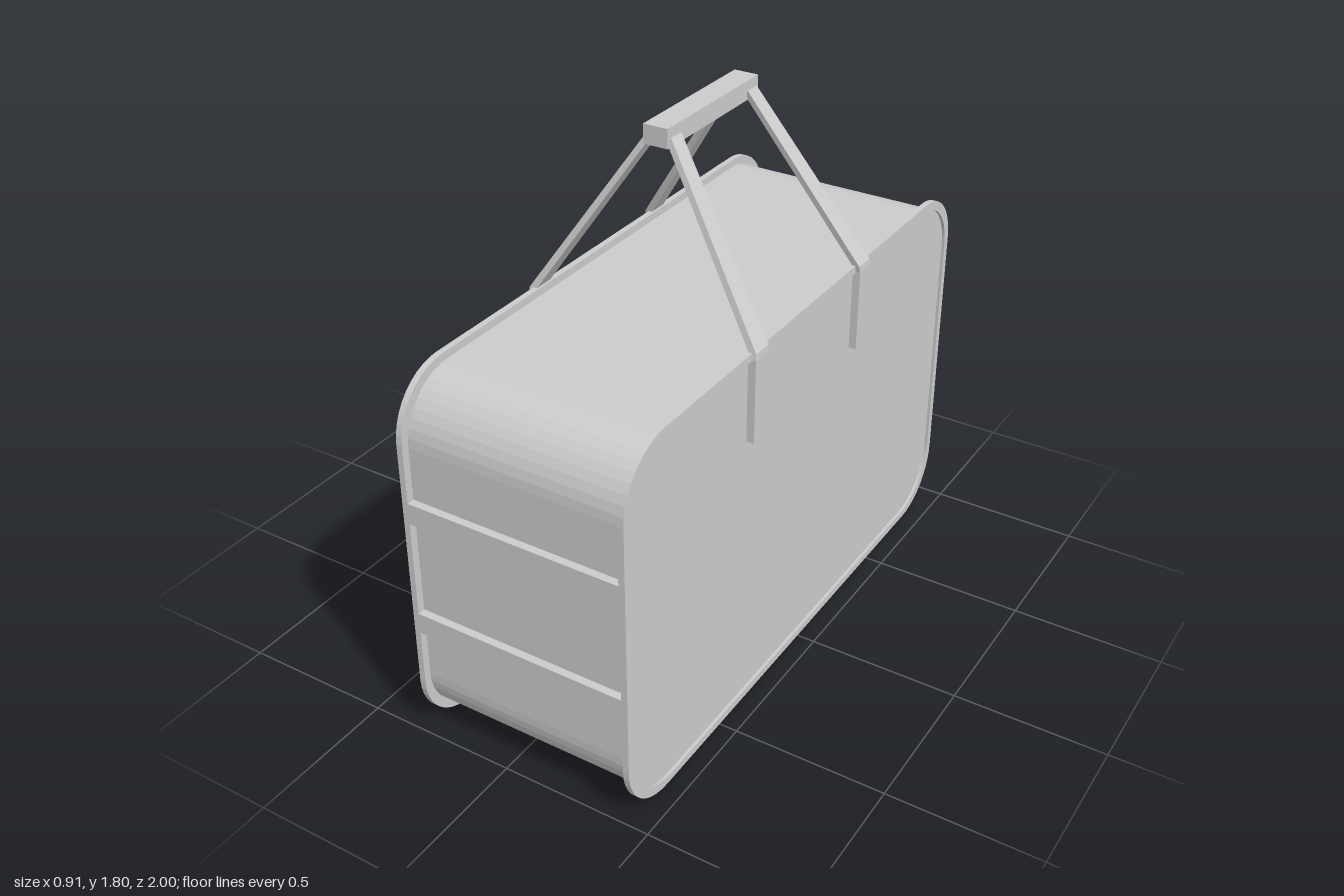
import * as THREE from 'three';

const material = new THREE.MeshStandardMaterial({ color: 0xcccccc, flatShading: true, side: THREE.DoubleSide });
const MID = 0.065; // middle of the bag body in x

function add(parent, name, geometry) {
  const mesh = new THREE.Mesh(geometry, material);
  mesh.name = name;
  parent.add(mesh);
  return mesh;
}

// Rounded rectangle outline, inset from the full bag silhouette
function outline(inset, Type = THREE.Shape) {
  const s = new Type();
  const w = 1 - inset, b = inset, t = 1.24 - inset, r = 0.2 - inset * 0.3;
  s.moveTo(-w + r, b);
  s.lineTo(w - r, b);
  s.absarc(w - r, b + r, r, -Math.PI / 2, 0);
  s.absarc(w - r, t - r, r, 0, Math.PI / 2);
  s.absarc(-w + r, t - r, r, Math.PI / 2, Math.PI);
  s.absarc(-w + r, b + r, r, Math.PI, Math.PI * 1.5);
  return s;
}

// Extrude an outline along x, starting at x0
function extrudeX(shape, x0, depth) {
  const g = new THREE.ExtrudeGeometry(shape, { depth, bevelEnabled: false, curveSegments: 5 });
  return g.rotateY(Math.PI / 2).translate(x0, 0, 0);
}

// Skin a row of four-cornered sections and close both ends
function loft(sections) {
  const pos = sections.flat(2), idx = [];
  const n = sections.length;
  for (let i = 0; i < n - 1; i++) {
    for (let j = 0; j < 4; j++) {
      const a = i * 4 + j, b = i * 4 + (j + 1) % 4;
      idx.push(a, b, b + 4, a, b + 4, a + 4);
    }
  }
  const e = (n - 1) * 4;
  idx.push(0, 2, 1, 0, 3, 2, e, e + 1, e + 2, e, e + 2, e + 3);
  const g = new THREE.BufferGeometry();
  g.setAttribute('position', new THREE.Float32BufferAttribute(pos, 3));
  g.setIndex(idx);
  const flat = g.toNonIndexed();
  flat.computeVertexNormals();
  return flat;
}

export function createModel() {
  const bag = new THREE.Group();
  bag.name = 'bag';

  // Main body with slightly sunken side panels
  add(bag, 'body', extrudeX(outline(0.025), -0.3, 0.73));

  // Raised rims round both side panels
  for (const x0 of [-0.31, 0.42]) {
    const ring = outline(0);
    ring.holes.push(outline(0.025, THREE.Path));
    add(bag, 'rim', extrudeX(ring, x0, 0.02));
  }

  // Raised bands across both ends
  for (const z of [-0.98, 0.98]) {
    for (const y of [0.425, 0.815]) {
      add(bag, 'endBand', new THREE.BoxGeometry(0.72, 0.07, 0.04)).position.set(MID, y, z);
    }
  }

  // Wedge-shaped pocket with a chamfered outer face
  const rect = (xb, xt, y0, y1, z) => [[xb, y0, z], [xb, y0, -z], [xt, y1, -z], [xt, y1, z]];
  add(bag, 'pocket', loft([
    rect(-0.295, -0.295, 0.295, 0.945, 0.55),
    rect(-0.35, -0.44, 0.295, 0.945, 0.55),
    rect(-0.365, -0.455, 0.31, 0.932, 0.537),
  ]));

  // Straps: [inner x, outer x, y, inner z, outer z], mirrored to four corners
  const strap = [
    [0.355, 0.39, 0.95, 0.285, 0.355],
    [0.355, 0.39, 1.22, 0.285, 0.355],
    [0.363, 0.388, 1.24, 0.281, 0.35],
    [0.02, 0.042, 1.765, 0.185, 0.238],
  ];
  for (const sx of [1, -1]) {
    for (const sz of [1, -1]) {
      const sections = strap.map(([xi, xo, y, zi, zo]) => {
        const c = [[xi, zi], [xi, zo], [xo, zo], [xo, zi]]
          .map(([x, z]) => [MID + sx * x, y, sz * z]);
        return sx * sz > 0 ? c : c.reverse();
      });
      add(bag, 'strap', loft(sections));
    }
  }

  // Grip bar joining the straps
  add(bag, 'handle', new THREE.BoxGeometry(0.08, 0.06, 0.5)).position.set(MID - 0.003, 1.767, 0);

  return bag;
}
